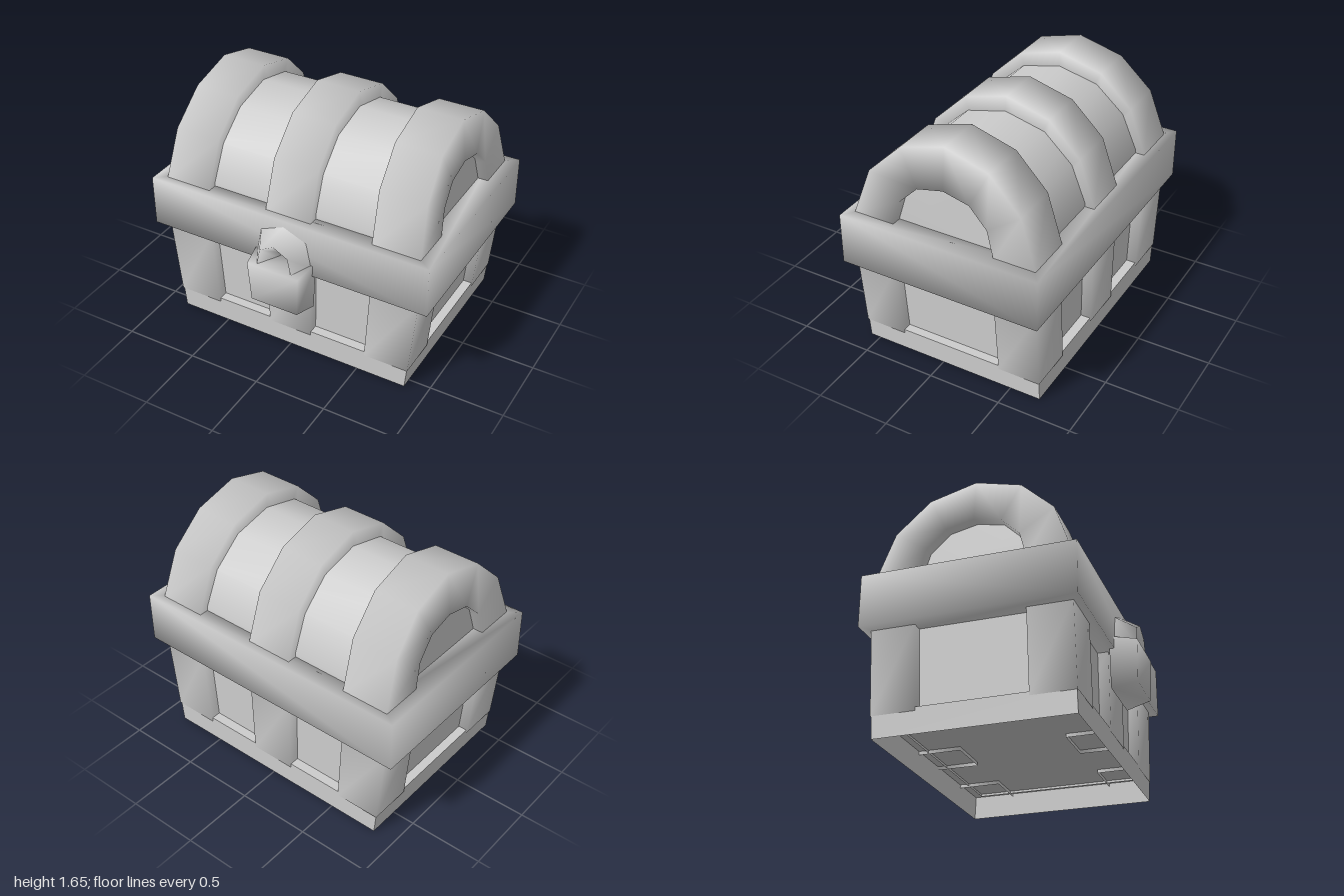
import * as THREE from 'three';
import { mergeVertices, toCreasedNormals } from 'three/addons/utils/BufferGeometryUtils.js';

const ZC = -0.07; // centre of the chest in depth; the lock sticks out in front

// Widths shrink towards the floor and towards the top of the lid
function lean(geo) {
  const p = geo.attributes.position;
  for (let i = 0; i < p.count; i++) {
    const y = p.getY(i);
    const k = y > 1.03 ? 1 - 0.06 * Math.pow((y - 1.03) / 0.62, 1.15)
      : y < 0.68 ? 1 - 0.06 * (0.68 - y) / 0.54 : 1;
    p.setX(i, p.getX(i) * k);
  }
  return geo;
}

// Share corner vertices so the shading flows softly around the part
function soften(geo) {
  geo.deleteAttribute('uv');
  geo.deleteAttribute('normal');
  const g = mergeVertices(geo, 1e-4);
  g.computeVertexNormals();
  return g;
}

// Box without its underside, and without its top unless asked for
function shell(x0, x1, y0, y1, z0, z1, top = false) {
  const g = new THREE.BoxGeometry(x1 - x0, y1 - y0, z1 - z0);
  const faces = Array.from(g.index.array);
  g.setIndex([...faces.slice(0, top ? 18 : 12), ...faces.slice(24)]);
  g.clearGroups();
  return lean(g.translate((x0 + x1) / 2, (y0 + y1) / 2, (z0 + z1) / 2 + ZC));
}

// Grid of points joined by quads
function loft(rows) {
  const n = rows[0].length, index = [];
  for (let i = 0; i < rows.length - 1; i++) {
    for (let j = 0; j < n - 1; j++) {
      const a = i * n + j, b = a + n;
      index.push(a, a + 1, b, b, a + 1, b + 1);
    }
  }
  const g = new THREE.BufferGeometry();
  g.setAttribute('position', new THREE.Float32BufferAttribute(rows.flat(2), 3));
  g.setIndex(index);
  return g;
}

// Full arch from one half, listed from the foot to the crown
const mirrorArch = (half) =>
  [...half, ...half.slice(0, -1).reverse().map(([z, y]) => [-z, y])];

export function createModel() {
  const chest = new THREE.Group();
  chest.name = 'treasureChest';
  const grey = new THREE.MeshStandardMaterial({ color: 0xcccccc, side: THREE.DoubleSide });
  grey.name = 'plain grey';
  const add = (name, geo) => {
    const m = new THREE.Mesh(geo, grey);
    m.name = name;
    chest.add(m);
  };

  // Plinth, hollow underneath, and the recessed walls
  add('base', shell(-0.915, 0.915, 0, 0.165, -0.64, 0.64, true));
  add('walls', shell(-0.85, 0.85, 0.148, 0.68, -0.575, 0.575));

  // Wide rim: a rectangular ring
  const rect = (C, x, z) => new C([[-x, -z], [x, -z], [x, z], [-x, z]]
    .map(([a, b]) => new THREE.Vector2(a, b)));
  const ring = rect(THREE.Shape, 1, 0.695);
  ring.holes.push(rect(THREE.Path, 0.84, 0.565));
  const rim = new THREE.ExtrudeGeometry(ring, { depth: 0.35, bevelEnabled: false });
  add('rim', soften(rim.rotateX(-Math.PI / 2).translate(0, 0.68, ZC)));

  // Corner posts, and a middle post on front and back
  for (const [z0, z1] of [[0.355, 0.645], [-0.645, -0.355]]) {
    for (const [name, x0, x1] of [['cornerPostRight', -0.92, -0.59],
      ['middlePost', -0.165, 0.165], ['cornerPostLeft', 0.59, 0.92]]) {
      add(name, soften(shell(x0, x1, 0.14, 0.69, z0, z1)));
    }
  }

  // Rounded lid
  const profile = mirrorArch([[0.575, 0.98], [0.57, 1.06], [0.47, 1.3], [0.275, 1.478], [0, 1.545]]);
  const lid = new THREE.ExtrudeGeometry(
    new THREE.Shape(profile.map(([z, y]) => new THREE.Vector2(z, y))),
    { depth: 1.7, bevelEnabled: false });
  add('lid', toCreasedNormals(lean(lid.rotateY(Math.PI / 2).translate(-0.85, 0, ZC)), 0.8));

  // Three arched bands, each a square section swept over the lid
  const outer = mirrorArch([[0.64, 1.02], [0.525, 1.35], [0.305, 1.565], [0, 1.65]]);
  const inner = mirrorArch([[0.355, 1.02], [0.305, 1.2], [0.18, 1.325], [0, 1.365]]);
  for (const [name, x0, x1] of [['lidBandRight', -0.918, -0.59],
    ['lidBandMiddle', -0.163, 0.163], ['lidBandLeft', 0.59, 0.918]]) {
    const rows = outer.map(([zo, yo], i) => {
      const [zi, yi] = inner[i];
      return [[x0, yo, zo + ZC], [x0, yi, zi + ZC], [x1, yi, zi + ZC],
        [x1, yo, zo + ZC], [x0, yo, zo + ZC]];
    });
    add(name, soften(lean(loft(rows))));
  }

  // Padlock body: a block whose front face is smaller than its back
  const lock = new THREE.BoxGeometry(1, 1, 1);
  const p = lock.attributes.position;
  for (let i = 0; i < p.count; i++) {
    const top = p.getY(i) > 0, front = p.getZ(i) > 0, side = Math.sign(p.getX(i));
    const w = front ? (top ? 0.185 : 0.168) : (top ? 0.215 : 0.195);
    const y = front ? (top ? 0.735 : 0.45) : (top ? 0.765 : 0.415);
    p.setXYZ(i, side * w, y, front ? (top ? 0.77 : 0.76) : 0.595);
  }
  add('lockBody', soften(lock));

  // Shackle: half ring with a triangular section, ridge to the front
  const sections = [
    [[-0.2, 0.74, 0.62], [-0.125, 0.73, 0.75], [-0.025, 0.73, 0.62]],
    [[-0.165, 0.92, 0.62], [-0.1, 0.855, 0.75], [-0.02, 0.78, 0.62]],
    [[0, 0.99, 0.62], [0, 0.91, 0.75], [0, 0.795, 0.62]],
  ];
  const mirrored = sections.slice(0, 2).reverse().map((r) => r.map(([x, y, z]) => [-x, y, z]));
  add('shackle', soften(loft([...sections, ...mirrored])));

  return chest;
}
